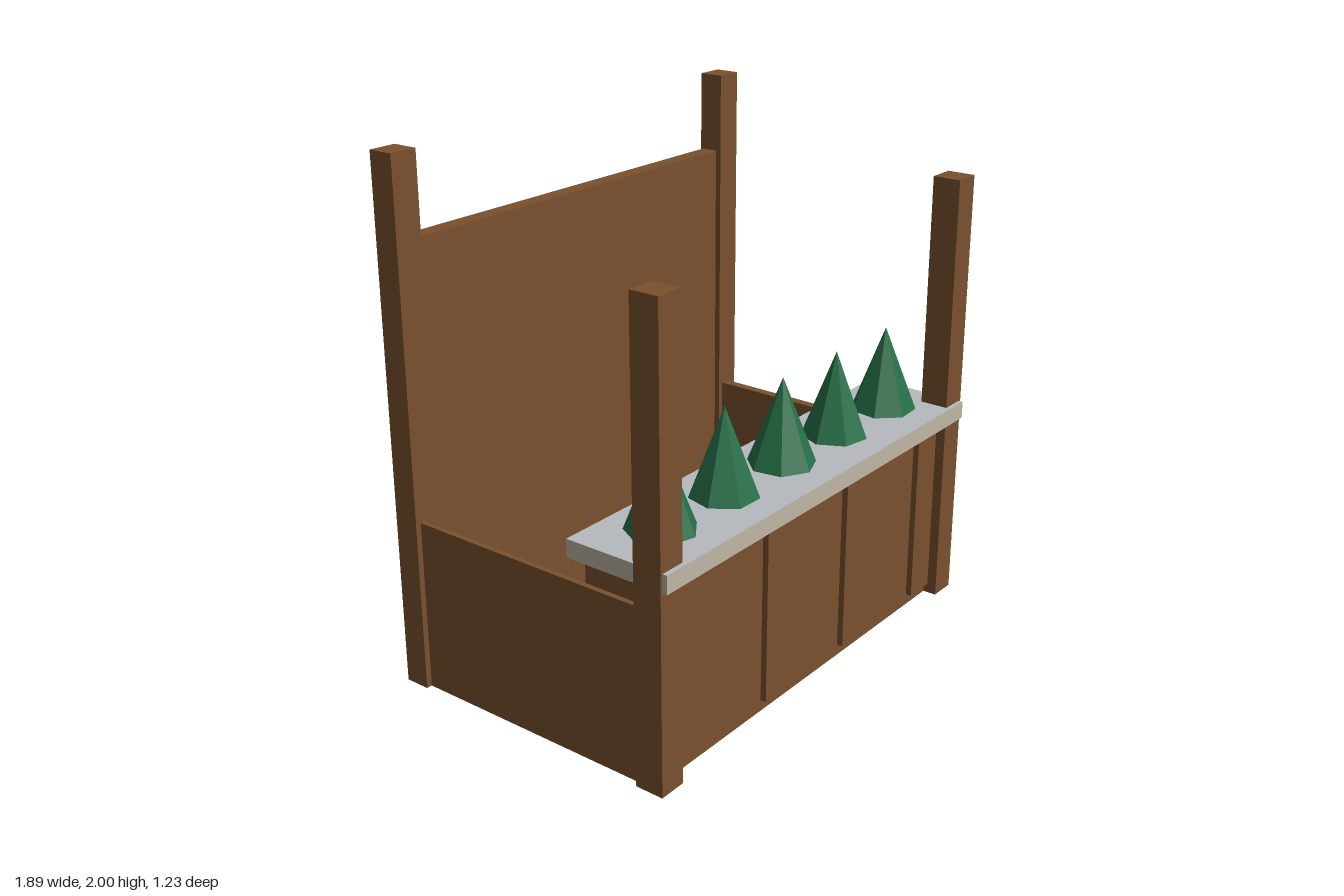
import * as THREE from 'three';

export function createModel() {
  const model = new THREE.Group();
  model.name = 'marketStall';

  const material = (name, color, flatShading = false) => {
    const m = new THREE.MeshStandardMaterial({ color, flatShading });
    m.name = name;
    return m;
  };
  const wood = material('brown wood', 0x7a502e);
  const stone = material('grey counter top', 0xb6b9bf);
  const edge = material('beige counter edge', 0xc0b6a5);
  const green = material('tree green', 0x267048, true);

  // Box given by its limits on each axis
  function box(name, [x0, x1], [y0, y1], [z0, z1], mat = wood) {
    const mesh = new THREE.Mesh(new THREE.BoxGeometry(x1 - x0, y1 - y0, z1 - z0), mat);
    mesh.position.set((x0 + x1) / 2, (y0 + y1) / 2, (z0 + z1) / 2);
    mesh.name = name;
    model.add(mesh);
    return mesh;
  }

  // Four corner posts, the back pair taller
  for (const [side, x0, x1] of [['Right', -0.945, -0.835], ['Left', 0.835, 0.945]]) {
    box('frontPost' + side, [x0, x1], [0, 1.735], [0.488, 0.6]);
    box('backPost' + side, [x0, x1], [0, 2], [-0.615, -0.515]);
  }

  // Walls, open between them at the bottom
  box('backWall', [-0.84, 0.84], [0, 1.69], [-0.604, -0.538]);
  box('sideWallRight', [-0.922, -0.901], [0, 0.665], [-0.53, 0.5]);
  box('sideWallLeft', [0.856, 0.894], [0, 0.665], [-0.53, 0.5]);

  // Solid base below the counter, with four raised strips
  box('counterBase', [-0.9, 0.88], [0, 0.756], [0.245, 0.545]);
  [-0.757, -0.25, 0.25, 0.757].forEach((x, i) =>
    box('frontStrip' + (i + 1), [x - 0.066, x + 0.066], [0.045, 0.715], [0.54, 0.568]));

  // Counter slab: grey top, beige edges
  box('counter', [-0.935, 0.933], [0.756, 0.825], [0.196, 0.618],
    [edge, edge, stone, edge, edge, edge]);

  // Row of seven-sided trees, each turned a little differently
  const cone = new THREE.ConeGeometry(0.128, 0.33, 7);
  [10, 24, -4, 15, 30].forEach((turn, i) => {
    const tree = new THREE.Mesh(cone, green);
    tree.position.set((i - 2) * 0.345, 0.99, 0.397);
    tree.rotation.y = THREE.MathUtils.degToRad(turn);
    tree.name = 'tree' + (i + 1);
    model.add(tree);
  });

  return model;
}
